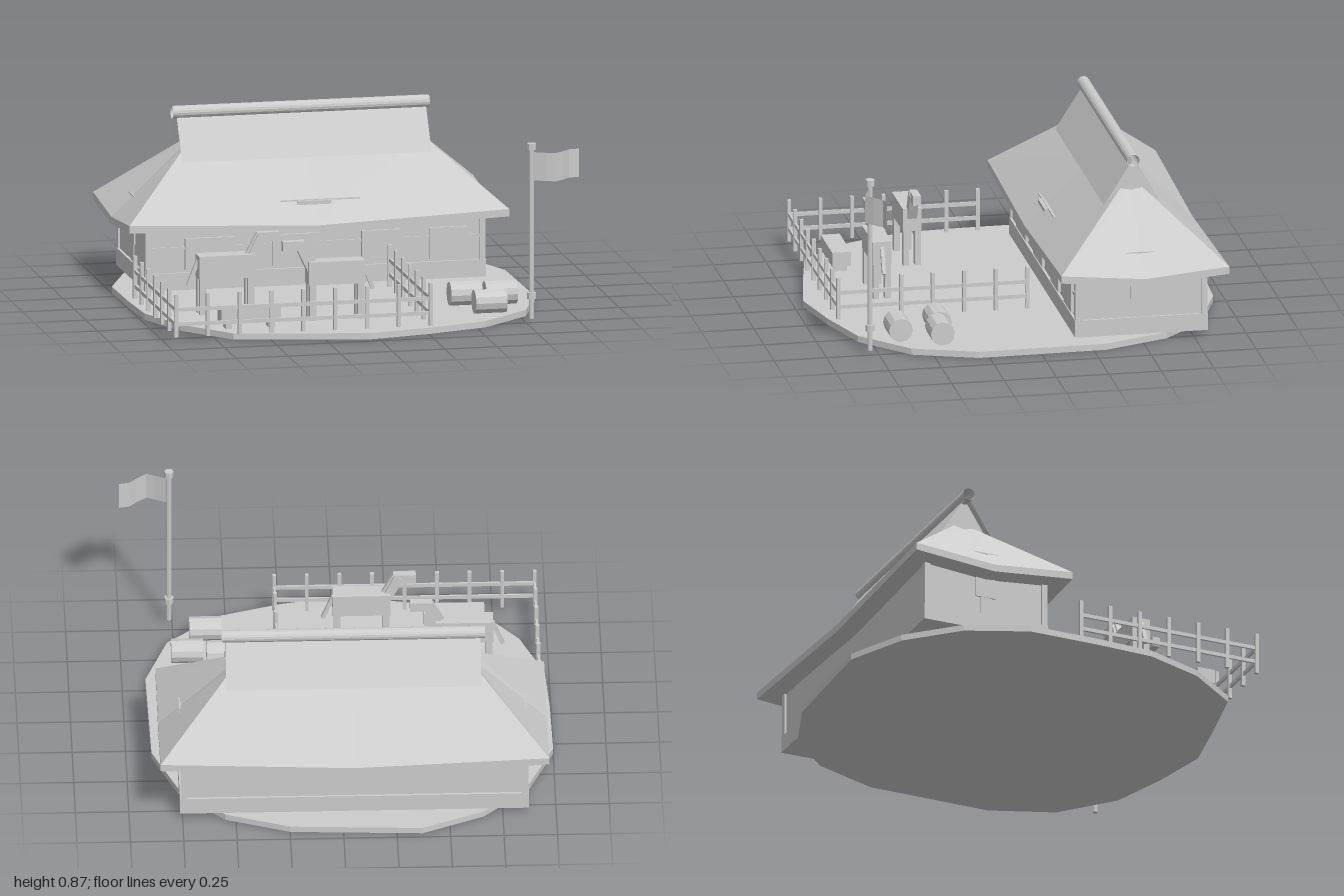
import * as THREE from 'three';

export function createModel() {
  const model = new THREE.Group();
  const clay = new THREE.MeshStandardMaterial({ color: 0xcccccc, flatShading: true, side: THREE.DoubleSide });
  clay.name = 'light grey';

  const add = (name, geometry, parent = model) => {
    const mesh = new THREE.Mesh(geometry, clay);
    mesh.name = name;
    parent.add(mesh);
    return mesh;
  };
  const group = (name) => {
    const g = new THREE.Group();
    g.name = name;
    model.add(g);
    return g;
  };
  // Box given by its limits on each axis
  const box = (name, x0, x1, y0, y1, z0, z1, parent = model) => {
    const mesh = add(name, new THREE.BoxGeometry(x1 - x0, y1 - y0, z1 - z0), parent);
    mesh.position.set((x0 + x1) / 2, (y0 + y1) / 2, (z0 + z1) / 2);
    return mesh;
  };
  // Square bar between two points in an x-y plane
  const bar = (name, ax, ay, bx, by, z, thick, wide, parent) => {
    const mesh = add(name, new THREE.BoxGeometry(thick, Math.hypot(bx - ax, by - ay), wide), parent);
    mesh.position.set((ax + bx) / 2, (ay + by) / 2, z);
    mesh.rotation.z = -Math.atan2(bx - ax, by - ay);
  };
  const triangles = (points) => {
    const g = new THREE.BufferGeometry();
    g.setAttribute('position', new THREE.Float32BufferAttribute(points.flat(), 3));
    g.computeVertexNormals();
    return g;
  };

  // Ground slab
  const outline = [[-0.04, 0.96], [0.25, 0.9], [0.54, 0.81], [0.78, 0.6], [0.89, 0.3], [0.88, -0.31],
    [0.76, -0.62], [0.55, -0.83], [0.25, -0.94], [-0.37, -0.97], [-0.66, -0.84], [-0.88, -0.62],
    [-1, -0.33], [-0.995, 0.02], [-0.98, 0.3], [-0.87, 0.58], [-0.67, 0.83], [-0.35, 0.9]];
  const slab = new THREE.ExtrudeGeometry(
    new THREE.Shape(outline.map(([x, z]) => new THREE.Vector2(x, -z))), { depth: 0.03, bevelEnabled: false });
  add('ground', slab.rotateX(-Math.PI / 2));

  // House walls with sill, posts and windows
  const house = group('house');
  const cx = -0.055, cz = -0.5;
  box('walls', -0.86, 0.75, 0.03, 0.33, -0.805, -0.195, house);
  box('sill', -0.872, 0.762, 0.03, 0.112, -0.817, -0.183, house);
  for (const x of [-0.855, 0.745]) {
    for (const z of [-0.8, -0.2]) box('cornerPost', x - 0.015, x + 0.015, 0.03, 0.33, z - 0.015, z + 0.015, house);
    box('sidePost', x - 0.01, x + 0.01, 0.112, 0.33, cz - 0.025, cz + 0.025, house);
    box('sideBeam', x - 0.012, x + 0.012, 0.2, 0.33, cz - 0.05, cz + 0.05, house);
  }
  for (const [x0, x1] of [[-0.68, -0.44], [-0.26, -0.04], [0.165, 0.35], [0.49, 0.67]]) {
    box('window', x0, x1, 0.125, 0.275, -0.195, -0.18, house);
  }
  box('frontBeam', -0.86, 0.75, 0.22, 0.235, -0.195, -0.188, house);

  // Sagging hipped roof built from rings of eight points
  const ring = (hx, hz, corner, middle) =>
    [[0, 1], [1, 1], [1, 0], [1, -1], [0, -1], [-1, -1], [-1, 0], [-1, 1]].map(([sx, sz]) =>
      [cx + sx * hx, sx && sz ? corner : middle, cz + sz * hz]);
  const rings = [ring(0.91, 0.4, 0.33, 0.293), ring(0.91, 0.4, 0.365, 0.328), ring(0.56, 0.05, 0.67, 0.66)];
  const faces = [];
  for (let i = 0; i < 8; i++) {
    const j = (i + 1) % 8;
    for (let r = 0; r < 2; r++) {
      const a = rings[r], b = rings[r + 1];
      faces.push(a[i], a[j], b[j], a[i], b[j], b[i]);
    }
    faces.push([cx, 0.293, cz], rings[0][j], rings[0][i], [cx, 0.66, cz], rings[2][i], rings[2][j]);
  }
  add('mainRoof', triangles(faces), house);

  // Steep upper roof with inset gables and an open ridge roll
  const ridge = 0.815, low = 0.6, x0 = -0.655, x1 = 0.54;
  for (const s of [1, -1]) {
    const z = cz + s * 0.137;
    const p = [[x0, low, z], [x1, low, z], [x1, ridge, cz], [x0, ridge, cz]];
    const order = s > 0 ? [0, 1, 2, 0, 2, 3] : [0, 2, 1, 0, 3, 2];
    add('upperRoof', triangles(order.map((i) => p[i])), house);
    const gx = cx + s * 0.562;
    add('gable', triangles([[gx, 0.6, cz + s * 0.135], [gx, 0.6, cz - s * 0.135], [gx, ridge, cz]]), house);
  }
  const roll = add('ridgeRoll', new THREE.CylinderGeometry(0.03, 0.03, 1.23, 16, 1, true), house);
  roll.rotation.z = Math.PI / 2;
  roll.position.set(-0.06, ridge, cz);

  // Thin ledges showing through the thatch
  box('frontLedge', -0.14, 0.02, 0.412, 0.43, -0.21, -0.18, house);
  box('frontLedgeLine', -0.22, 0.16, 0.427, 0.433, -0.22, -0.197, house);
  for (const s of [-1, 1]) {
    const x = cx + s * 0.8;
    box('sideLedge', x - 0.012, x + 0.012, 0.424, 0.43, -0.57, -0.43, house);
  }

  // Paddock fence on three sides
  const fence = group('fence');
  const post = (x, z) => box('fencePost', x - 0.009, x + 0.009, 0.03, 0.232, z - 0.009, z + 0.009, fence);
  for (let i = 0; i < 9; i++) post(-0.95 + i * 0.1525, 0.85);
  for (let i = 0; i < 6; i++) for (const x of [-0.95, 0.27]) post(x, -0.05 + i * 0.15);
  for (const y of [0.09, 0.16]) {
    box('frontRail', -0.95, 0.27, y - 0.009, y + 0.009, 0.845, 0.855, fence);
    for (const x of [-0.95, 0.27]) box('sideRail', x - 0.005, x + 0.005, y - 0.009, y + 0.009, -0.05, 0.85, fence);
  }

  // Horses, modelled facing +x around their body centre
  const horse = (x, z, turn) => {
    const h = group('horse');
    box('body', -0.135, 0.135, 0.2, 0.31, -0.045, 0.045, h);
    for (const lx of [-0.115, 0.115]) for (const lz of [-0.028, 0.028]) {
      box('leg', lx - 0.016, lx + 0.016, 0.03, 0.21, lz - 0.014, lz + 0.014, h);
    }
    bar('neck', 0.115, 0.27, 0.175, 0.395, 0, 0.045, 0.045, h);
    bar('mane', 0.098, 0.3, 0.155, 0.405, 0, 0.014, 0.02, h);
    box('head', 0.15, 0.255, 0.362, 0.408, -0.019, 0.019, h);
    bar('tail', -0.132, 0.285, -0.18, 0.165, 0, 0.018, 0.018, h);
    h.position.set(x, 0, z);
    h.rotation.y = turn;
  };
  horse(-0.605, 0.355, 0);
  horse(-0.13, 0.59, Math.PI);

  // Feeding trough
  const trough = group('trough');
  box('tub', -0.71, -0.425, 0.06, 0.13, 0.655, 0.745, trough);
  for (const x of [-0.67, -0.465]) box('troughLeg', x - 0.015, x + 0.015, 0.03, 0.06, 0.67, 0.73, trough);

  // Straw bales
  for (const [x, z] of [[0.525, 0.43], [0.69, 0.448], [0.6, 0.63]]) {
    const bale = add('strawBale', new THREE.CylinderGeometry(0.057, 0.057, 0.15, 12));
    bale.rotation.z = Math.PI / 2;
    bale.position.set(x, 0.087, z);
  }

  // Flagpole with collar, cap and a waving flag
  const flagpole = group('flagpole');
  const pole = add('pole', new THREE.CylinderGeometry(0.012, 0.012, 0.82, 8), flagpole);
  pole.position.set(0.765, 0.44, 0.795);
  for (const [name, y] of [['collar', 0.14], ['cap', 0.853]]) {
    add(name, new THREE.CylinderGeometry(0.022, 0.022, 0.03, 8), flagpole).position.set(0.765, y, 0.795);
  }
  const wave = [[0.775, 0.795], [0.83, 0.825], [0.87, 0.84], [0.915, 0.805], [0.95, 0.77], [1, 0.76]];
  const cloth = [];
  for (let i = 0; i < wave.length - 1; i++) {
    const [ax, az] = wave[i], [bx, bz] = wave[i + 1];
    const p = [[ax, 0.69, az], [bx, 0.69, bz], [bx, 0.825, bz], [ax, 0.825, az]];
    cloth.push(p[0], p[1], p[2], p[0], p[2], p[3]);
  }
  add('flag', triangles(cloth), flagpole);

  return model;
}
